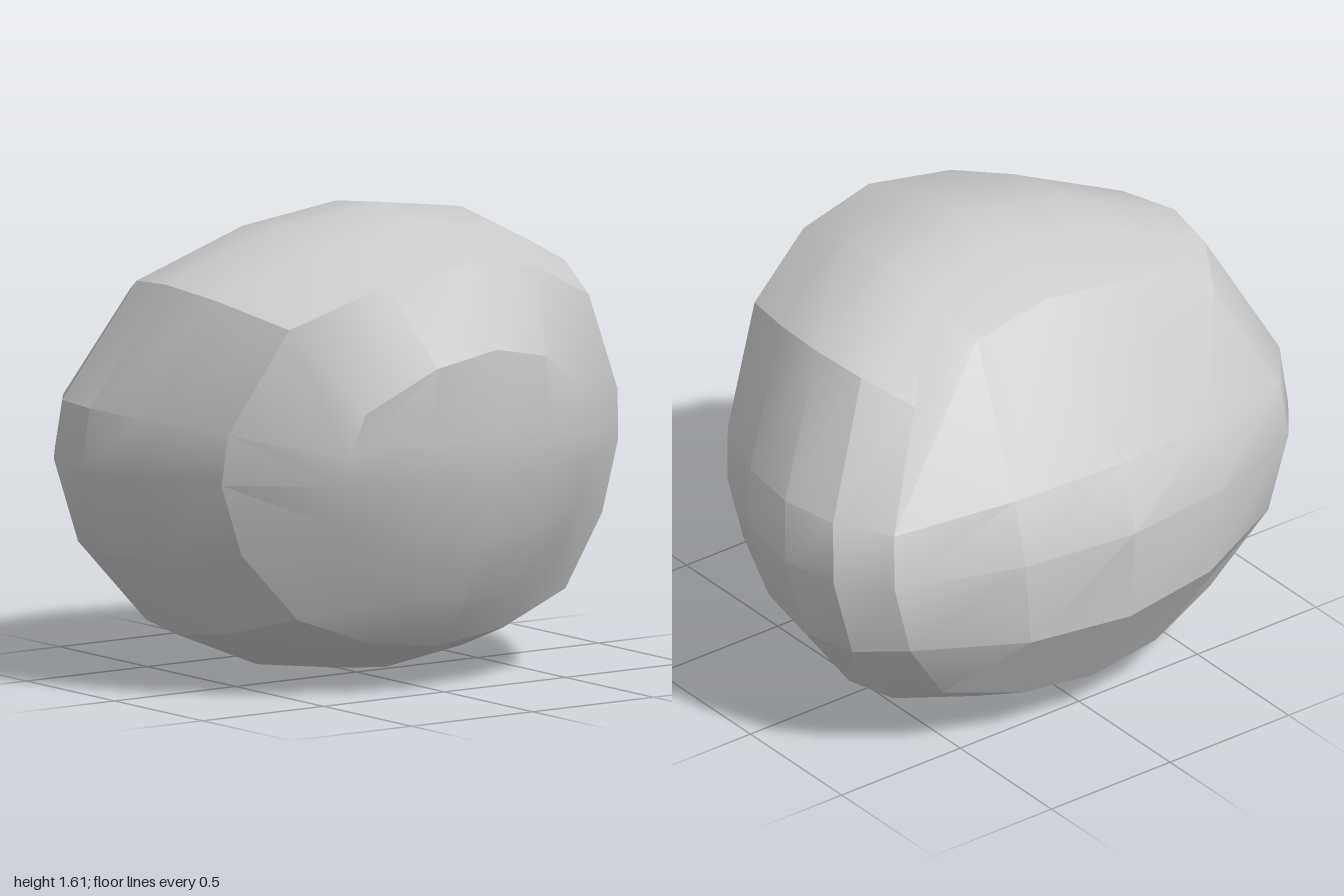
import * as THREE from 'three';
import { toCreasedNormals } from 'three/addons/utils/BufferGeometryUtils.js';

// Control points of the rock's middle section, keyed by [height][depth], back to front
const MIDDLE = [
  [[0, 0.14, -0.58], [0, 0, -0.11], [0, 0.15, 0.46]],
  [[0, 0.8, -0.81], null, null],
  [[0, 1.49, -0.33], [0, 1.61, 0.12], [0, 1.47, 0.65]],
];
// Control points of the left flank, same order
const FLANK = [
  [[0.59, 0.26, -0.52], [0.7, 0.17, -0.15], [0.58, 0.28, 0.39]],
  [[0.83, 0.77, -0.57], [1, 0.76, -0.19], [0.82, 0.76, 0.36]],
  [[0.6, 1.31, -0.38], [0.72, 1.39, 0], [0.59, 1.29, 0.51]],
];
// Raised front facet, bottom row to top row: middle point, then side point
const FACET = [
  [[0, 0.3, 0.6], [0.46, 0.44, 0.53]],
  [[0, 0.77, 0.79], [0.51, 0.76, 0.63]],
  [[0, 1.2, 0.8], [0.435, 1.01, 0.69]],
];

// The right flank mirrors the left, leaning outward a little towards the top
const mirror = ([x, y, z]) => [-(x + 0.11 * (y - 0.76)), y, z];

const cage = (i, j, k) =>
  i === 1 ? MIDDLE[j][k] : i === 2 ? FLANK[j][k] : mirror(FLANK[j][k]);

const facet = (u, v) => (u === 0 ? mirror(FACET[v][1]) : FACET[v][u - 1]);

const EVEN = [0, 0.25, 0.5, 0.75, 1];
const UPRIGHT = [0, 0.25, 0.5, 0.67, 1];

// Quadratic curve through three points
const blend = (a, b, c, t) => {
  const wa = 2 * (t - 0.5) * (t - 1), wb = 4 * t * (1 - t), wc = 2 * t * (t - 0.5);
  return a.map((n, i) => n * wa + b[i] * wb + c[i] * wc);
};

// Grid of points on the surface through a 3 x 3 set of control points
function makeGrid(point, us, vs) {
  return vs.map((v) => us.map((u) => {
    const rows = [0, 1, 2].map((j) => blend(point(0, j), point(1, j), point(2, j), u));
    return blend(...rows, v);
  }));
}

// Border of a grid, counterclockwise
function border(g) {
  const n = g.length - 1;
  const loop = [];
  for (let i = 0; i < n; i++) loop.push(g[0][i]);
  for (let i = 0; i < n; i++) loop.push(g[i][n]);
  for (let i = n; i > 0; i--) loop.push(g[n][i]);
  for (let i = n; i > 0; i--) loop.push(g[i][0]);
  return loop;
}

export function createModel() {
  const positions = [];
  const quad = (a, b, c, d) => positions.push(...a, ...b, ...c, ...a, ...c, ...d);
  const addGrid = (g) => {
    for (let j = 0; j < g.length - 1; j++) {
      for (let i = 0; i < g[j].length - 1; i++) {
        quad(g[j][i], g[j][i + 1], g[j + 1][i + 1], g[j + 1][i]);
      }
    }
  };

  // Back, both flanks, top and underside
  addGrid(makeGrid((u, v) => cage(2 - u, v, 0), EVEN, UPRIGHT));
  addGrid(makeGrid((u, v) => cage(2, v, 2 - u), EVEN, UPRIGHT));
  addGrid(makeGrid((u, v) => cage(0, v, u), EVEN, UPRIGHT));
  addGrid(makeGrid((u, v) => cage(u, 2, 2 - v), EVEN, EVEN));
  addGrid(makeGrid((u, v) => cage(u, 0, v), EVEN, EVEN));

  // Front facet and the sloping band around it
  const inner = makeGrid(facet, EVEN, UPRIGHT);
  addGrid(inner);
  const frontEdge = makeGrid((u, v) => cage(u, v, 2) ?? facet(u, v), EVEN, UPRIGHT);
  const outerLoop = border(frontEdge);
  const innerLoop = border(inner);
  outerLoop.forEach((p, i) => {
    const n = (i + 1) % outerLoop.length;
    quad(p, outerLoop[n], innerLoop[n], innerLoop[i]);
  });

  // Smooth within the facets, sharp along the ridges
  const geometry = new THREE.BufferGeometry();
  geometry.setAttribute('position', new THREE.Float32BufferAttribute(positions, 3));
  const rock = new THREE.Mesh(
    toCreasedNormals(geometry, THREE.MathUtils.degToRad(24)),
    new THREE.MeshStandardMaterial({ color: 0xcccccc, roughness: 0.9 }),
  );
  rock.name = 'rock';

  const model = new THREE.Group();
  model.name = 'boulder';
  model.add(rock);
  return model;
}
